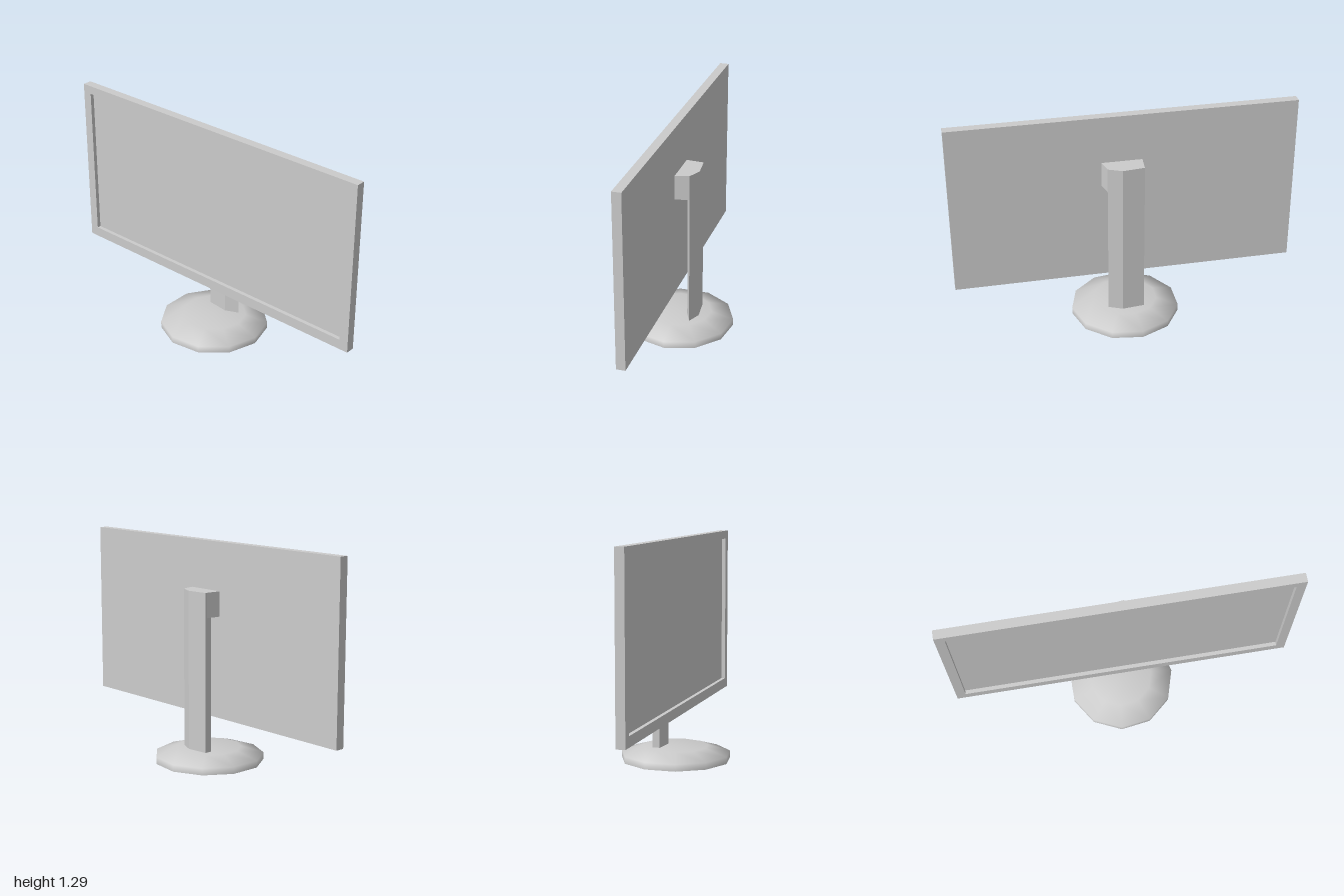
import * as THREE from 'three';
import { toCreasedNormals } from 'three/addons/utils/BufferGeometryUtils.js';

const material = new THREE.MeshStandardMaterial({ color: 0xcccccc });
const flatMaterial = new THREE.MeshStandardMaterial({ color: 0xcccccc, flatShading: true });

function add(parent, name, geometry, mat = flatMaterial) {
  const mesh = new THREE.Mesh(geometry, mat);
  mesh.name = name;
  parent.add(mesh);
  return mesh;
}

// Upright prism from a floor plan of [x, z] points
function prism(plan, bottom, top) {
  const shape = new THREE.Shape(plan.map(([x, z]) => new THREE.Vector2(x, -z)));
  return new THREE.ExtrudeGeometry(shape, { depth: top - bottom, bevelEnabled: false })
    .rotateX(-Math.PI / 2)
    .translate(0, bottom, 0);
}

function rectangle(target, x, bottom, top) {
  target.moveTo(-x, bottom);
  target.lineTo(x, bottom);
  target.lineTo(x, top);
  target.lineTo(-x, top);
  target.closePath();
  return target;
}

export function createModel() {
  const model = new THREE.Group();
  model.name = 'monitor';

  // Eleven-sided foot with a sloping upper rim
  const profile = [[0, 0], [0.32, 0], [0.32, 0.04], [0.19, 0.08], [0, 0.08]]
    .map(([r, y]) => new THREE.Vector2(r, y));
  const foot = new THREE.LatheGeometry(profile, 11, Math.PI / 2);
  add(model, 'base', toCreasedNormals(foot, 1.4), material);

  // Five-sided, flattened column
  const neckPlan = [];
  for (let i = 0; i < 5; i++) {
    const a = (i / 5) * Math.PI * 2;
    neckPlan.push([0.115 * Math.cos(a), -0.091 - 0.037 * Math.sin(a)]);
  }
  add(model, 'neck', prism(neckPlan, 0.075, 1.01));

  // Block joining the column to the back of the panel
  const mountPlan = [[-0.1, -0.01], [0.135, -0.01], [0.115, -0.091], [-0.093, -0.1]];
  add(model, 'mount', prism(mountPlan, 0.865, 1.01));

  // Panel: thin back shell, with a bezel framing the recessed screen
  const panel = new THREE.Group();
  panel.name = 'panel';
  model.add(panel);

  const shellBack = -0.01, screenZ = 0.02, bezelFront = 0.043;
  const frame = rectangle(new THREE.Shape(), 1, 0.27, 1.29);
  frame.holes.push(rectangle(new THREE.Path(), 0.945, 0.33, 1.24));
  const bezel = new THREE.ExtrudeGeometry(frame, { depth: bezelFront - shellBack, bevelEnabled: false });
  add(panel, 'bezel', bezel).position.z = shellBack;

  const screen = new THREE.BoxGeometry(1.89, 0.91, screenZ - shellBack);
  add(panel, 'screen', screen).position.set(0, 0.785, (screenZ + shellBack) / 2);

  return model;
}
